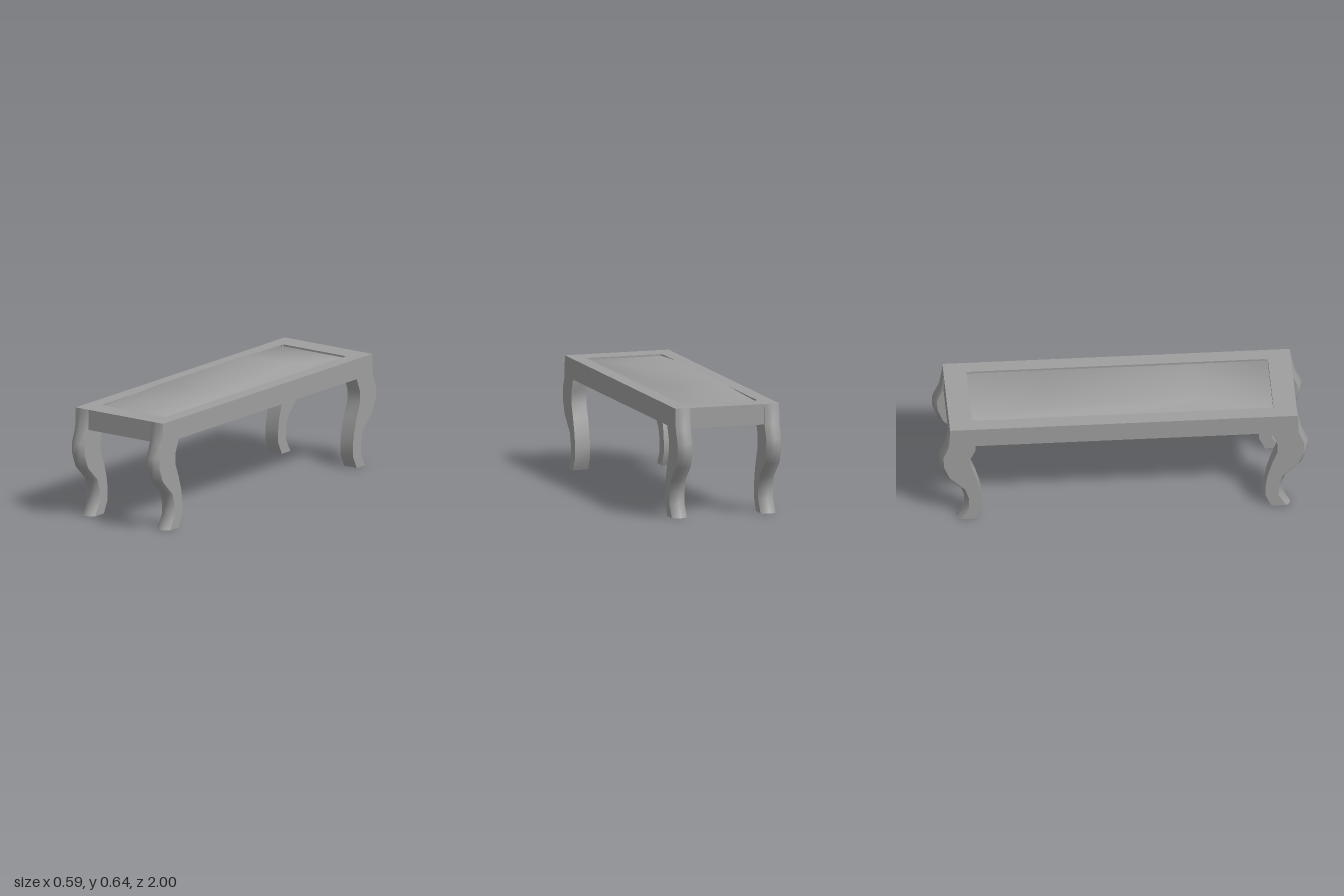
import * as THREE from 'three';
import { toCreasedNormals } from 'three/addons/utils/BufferGeometryUtils.js';

const CREASE = 0.75;

// Closed solid lofted through rings of points; each ring runs counter-clockwise seen from above
function loft(rings) {
  const n = rings[0].length;
  const index = [];
  for (let r = 0; r < rings.length - 1; r++) {
    for (let i = 0; i < n; i++) {
      const j = (i + 1) % n;
      const a = r * n + i, b = r * n + j, c = b + n, d = a + n;
      index.push(a, b, c, a, c, d);
    }
  }
  const top = (rings.length - 1) * n;
  for (let i = 1; i < n - 1; i++) {
    index.push(0, i + 1, i, top, top + i, top + i + 1);
  }
  const geometry = new THREE.BufferGeometry();
  geometry.setAttribute('position', new THREE.Float32BufferAttribute(rings.flat(2), 3));
  geometry.setIndex(index);
  return toCreasedNormals(geometry, CREASE);
}

// Curved leg: each level is [y, inner z, outer z, depth of the rounded front]
function legGeometry() {
  const w = 0.0425;
  const levels = [
    [0, 0.8, 0.903, 0.025],
    [0.072, 0.766, 0.862, 0.025],
    [0.135, 0.766, 0.862, 0.025],
    [0.2, 0.776, 0.882, 0.025],
    [0.283, 0.8, 0.968, 0.025],
    [0.36, 0.83, 0.998, 0.025],
    [0.42, 0.83, 1.0, 0.025],
    [0.495, 0.8, 0.965, 0.02],
    [0.607, 0.8, 0.94, 0],
  ];
  return loft(levels.map(([y, inner, outer, round]) => [
    [-w, y, inner],
    [-w, y, outer - round],
    [-w * 0.6, y, outer - round * 0.3],
    [0, y, outer],
    [w * 0.6, y, outer - round * 0.3],
    [w, y, outer - round],
    [w, y, inner],
  ]));
}

function rectangle(Type, x, z) {
  const path = new Type();
  path.moveTo(-x, -z);
  path.lineTo(x, -z);
  path.lineTo(x, z);
  path.lineTo(-x, z);
  path.closePath();
  return path;
}

const ring = (x, y, z) => [[-x, y, -z], [-x, y, z], [x, y, z], [x, y, -z]];

export function createModel() {
  const model = new THREE.Group();
  const grey = new THREE.MeshStandardMaterial({ color: 0x9e9e9e });
  grey.name = 'grey';

  const add = (name, geometry) => {
    const mesh = new THREE.Mesh(geometry, grey);
    mesh.name = name;
    model.add(mesh);
    return mesh;
  };

  // Lower part of the apron, closed underneath
  add('apron', new THREE.BoxGeometry(0.59, 0.085, 1.88)).position.y = 0.5375;

  // Rim around the recessed seat
  const rimShape = rectangle(THREE.Shape, 0.295, 0.94);
  rimShape.holes.push(rectangle(THREE.Path, 0.215, 0.815));
  const rim = new THREE.ExtrudeGeometry(rimShape, { depth: 0.027, bevelEnabled: false });
  rim.rotateX(-Math.PI / 2);
  add('rim', rim).position.y = 0.58;

  // Seat panel rising from the recess to a flat crown
  add('seatPanel', loft([ring(0.214, 0.597, 0.814), ring(0.153, 0.641, 0.38)]));

  // Four legs, the back pair turned around
  const leg = legGeometry();
  for (const side of [-1, 1]) {
    add(side > 0 ? 'frontLeftLeg' : 'frontRightLeg', leg).position.x = side * 0.2525;
    const back = add(side > 0 ? 'backLeftLeg' : 'backRightLeg', leg);
    back.position.x = side * 0.2525;
    back.rotation.y = Math.PI;
  }
  return model;
}
